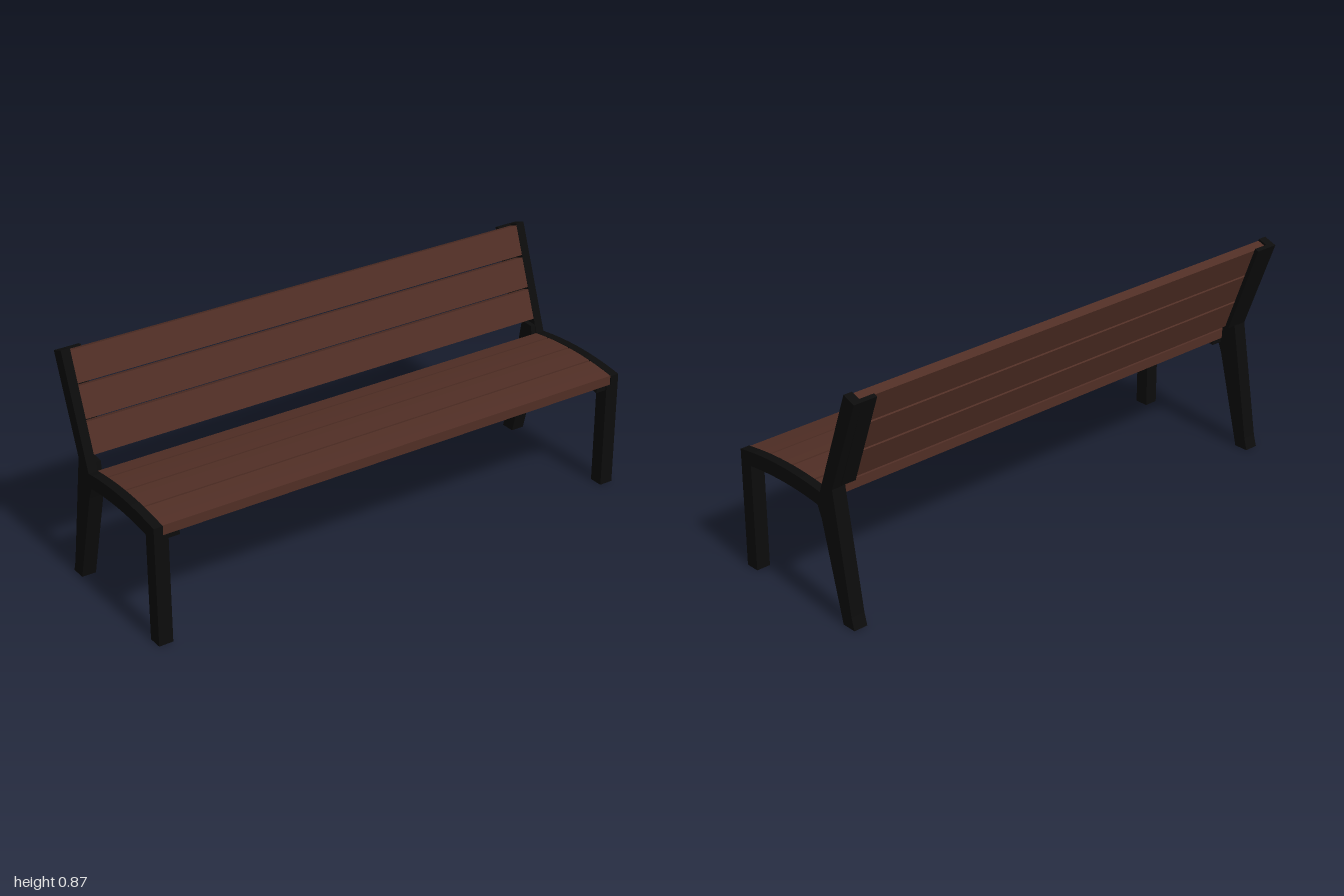
import * as THREE from 'three';

const wood = new THREE.MeshStandardMaterial({ color: 0x502e25 });
wood.name = 'brown wood';
const iron = new THREE.MeshStandardMaterial({ color: 0x0c0c0c });
iron.name = 'black iron';

// Extrude a (z, y) profile across the bench from x0 to x1
function slab(name, profile, x0, x1, material) {
  const shape = new THREE.Shape(profile.map(([z, y]) => new THREE.Vector2(z, y)));
  const geometry = new THREE.ExtrudeGeometry(shape, { depth: x1 - x0, bevelEnabled: false });
  geometry.rotateY(-Math.PI / 2);
  geometry.translate(x1, 0, 0);
  const mesh = new THREE.Mesh(geometry, material);
  mesh.name = name;
  return mesh;
}

// Gently crowned seat line, lowered by drop
const seatY = (z, drop = 0) => 0.479 - 0.36 * (z - 0.08) ** 2 - drop;

function arc(z0, z1, drop, steps = 16) {
  const points = [];
  for (let i = 0; i <= steps; i++) {
    const z = z0 + (z1 - z0) * i / steps;
    points.push([z, seatY(z, drop)]);
  }
  return points;
}

// Point on the leaning backrest: front-edge height y, moved back by depth
const lean = (y, depth = 0) => [
  -0.12 - 0.364 * (y - 0.465) - 0.94 * depth,
  y - 0.342 * depth,
];

const SLAT = 0.038;   // slat thickness
const RAIL = 0.055;   // rail depth

export function createModel() {
  const bench = new THREE.Group();
  bench.name = 'bench';

  // Outer cheek: front leg, curved seat rail, rear leg and back upright
  const cheek = [
    [0.32, 0], [0.32, seatY(0.32)],
    ...arc(0.3, -0.12, 0),
    lean(0.872), lean(0.872, RAIL), [-0.187, 0.498],
    [-0.265, 0.045], [-0.278, 0], [-0.22, 0], [-0.125, 0.365],
    ...arc(-0.105, 0.265, RAIL),
    [0.265, 0],
  ];
  const frontLeg = [
    [0.265, 0], [0.32, 0], [0.32, seatY(0.32, SLAT)], [0.265, seatY(0.265, SLAT)],
  ];
  const rearLeg = [
    [-0.22, 0], [-0.125, 0.365], [-0.106, 0.412], [-0.124, 0.425],
    [-0.126, 0.465], lean(0.495), [-0.187, 0.498], [-0.265, 0.045], [-0.278, 0],
  ];
  // Flanges that carry the slats
  const seatFlange = [...arc(0.316, -0.12, SLAT), ...arc(-0.12, 0.316, RAIL)];
  const backFlange = [
    lean(0.522, SLAT), lean(0.872, SLAT), lean(0.872, RAIL), lean(0.522, RAIL),
  ];

  for (const side of [1, -1]) {
    const frame = new THREE.Group();
    frame.name = side > 0 ? 'leftFrame' : 'rightFrame';
    const part = (name, profile, inner, outer) => frame.add(side > 0
      ? slab(name, profile, inner, outer, iron)
      : slab(name, profile, -outer, -inner, iron));
    part('cheek', cheek, 0.965, 1);
    part('frontLeg', frontLeg, 0.945, 0.965);
    part('rearLeg', rearLeg, 0.945, 0.965);
    part('seatFlange', seatFlange, 0.9, 0.965);
    part('backFlange', backFlange, 0.905, 0.965);
    bench.add(frame);
  }

  // Seat slats, the rearmost narrower
  const seat = new THREE.Group();
  seat.name = 'seat';
  for (const [z0, z1] of [[-0.122, -0.053], [-0.045, 0.07], [0.077, 0.193], [0.2, 0.316]]) {
    const profile = [...arc(z1, z0, 0.001, 3), ...arc(z0, z1, SLAT, 3)];
    seat.add(slab('seatSlat', profile, -0.965, 0.965, wood));
  }
  bench.add(seat);

  // Three equal backrest slats
  const back = new THREE.Group();
  back.name = 'backrest';
  for (let i = 0; i < 3; i++) {
    const y0 = 0.518 + i * 0.1185;
    const y1 = y0 + 0.11;
    const profile = [lean(y0, 0.001), lean(y1, 0.001), lean(y1, SLAT), lean(y0, SLAT)];
    back.add(slab('backSlat', profile, -0.965, 0.965, wood));
  }
  bench.add(back);

  return bench;
}
